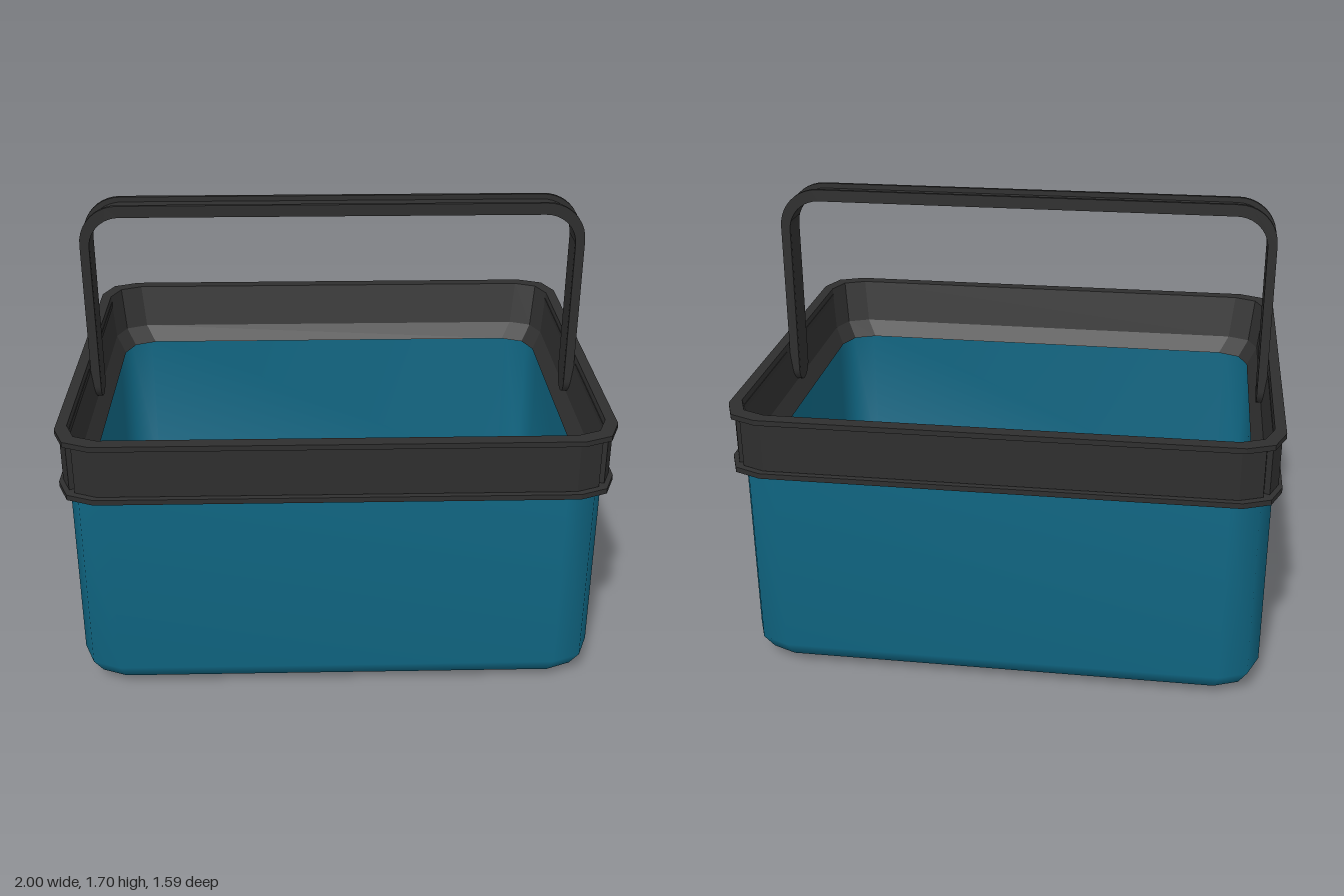
import * as THREE from 'three';

const teal = new THREE.MeshStandardMaterial({ color: 0x0f6480 });
const charcoal = new THREE.MeshStandardMaterial({ color: 0x2e2e2e });

function add(parent, name, geometry, material) {
  const mesh = new THREE.Mesh(geometry, material);
  mesh.name = name;
  parent.add(mesh);
  return mesh;
}

// Rounded rectangle in x/z with two facets per corner
function ring(hx, hz, r) {
  const pts = [];
  [[1, 1], [-1, 1], [-1, -1], [1, -1]].forEach(([sx, sz], q) => {
    for (let k = 0; k <= 2; k++) {
      const a = (q + k / 2) * Math.PI / 2;
      pts.push([sx * (hx - r) + r * Math.cos(a), sz * (hz - r) + r * Math.sin(a)]);
    }
  });
  return pts;
}

// Skin over rings given as [half x, half z, corner radius, y]
function loft(sections, flat) {
  const pos = [], idx = [], n = 12;
  sections.forEach(([hx, hz, r, y]) => ring(hx, hz, r).forEach(([x, z]) => pos.push(x, y, z)));
  for (let i = 0; i < sections.length - 1; i++) {
    for (let j = 0; j < n; j++) {
      const a = i * n + j, b = i * n + (j + 1) % n, c = b + n, d = a + n;
      idx.push(a, d, c, a, c, b);
    }
  }
  let g = new THREE.BufferGeometry();
  g.setAttribute('position', new THREE.Float32BufferAttribute(pos, 3));
  g.setIndex(idx);
  if (flat) g = g.toNonIndexed();
  g.computeVertexNormals();
  return g;
}

// Upright plate whose outline is given in x/z
function slab(points, y0, y1) {
  const shape = new THREE.Shape(points.map(([x, z]) => new THREE.Vector2(x, z)));
  const g = new THREE.ExtrudeGeometry(shape, { depth: y1 - y0, bevelEnabled: false });
  return g.rotateX(Math.PI / 2).translate(0, y1, 0);
}

// Upside-down U with rounded shoulders, extruded along z
function arch(outX, outY, outR, inX, inY, inR, foot, z0, z1) {
  const s = new THREE.Shape();
  s.moveTo(outX, foot);
  s.lineTo(outX, outY - outR);
  s.absarc(outX - outR, outY - outR, outR, 0, Math.PI / 2, false);
  s.absarc(-outX + outR, outY - outR, outR, Math.PI / 2, Math.PI, false);
  s.lineTo(-outX, foot);
  s.lineTo(-inX, foot);
  s.lineTo(-inX, inY - inR);
  s.absarc(-inX + inR, inY - inR, inR, Math.PI, Math.PI / 2, true);
  s.absarc(inX - inR, inY - inR, inR, Math.PI / 2, 0, true);
  s.lineTo(inX, foot);
  const g = new THREE.ExtrudeGeometry(s, { depth: z1 - z0, bevelEnabled: false, curveSegments: 5 });
  return g.translate(0, 0, z0);
}

export function createModel() {
  const model = new THREE.Group();
  model.name = 'basket';

  // Tub: outer skin, top edge and inner skin in one profile
  add(model, 'tub', loft([
    [0, 0, 0, 0], [0.8, 0.59, 0.1, 0], [0.935, 0.725, 0.13, 0.04], [0.97, 0.76, 0.15, 0.1],
    [0.97, 0.76, 0.15, 0.85], [0.935, 0.725, 0.13, 0.85],
    [0.935, 0.725, 0.13, 0.11], [0.79, 0.58, 0.1, 0.03], [0, 0, 0, 0.03],
  ], false), teal);

  // Rim: two flanges, recessed band and sloping inner ledge
  const rim = new THREE.Group();
  rim.name = 'rim';
  model.add(rim);
  add(rim, 'rimBand', loft([
    [0.9, 0.655, 0.12, 0.83], [1, 0.795, 0.14, 0.83], [1, 0.795, 0.14, 0.85],
    [0.965, 0.76, 0.12, 0.855], [0.965, 0.76, 0.12, 1.037], [1, 0.795, 0.14, 1.04],
    [1, 0.795, 0.14, 1.06], [0.96, 0.745, 0.12, 1.06], [0.94, 0.705, 0.12, 0.89],
    [0.9, 0.655, 0.12, 0.83],
  ], true), charcoal);

  // Raised panels, leaving slots at the corners and beside the pivots
  const half = [[0.847, 0.782], [0.93, 0.748], [0.92, 0.725], [0.84, 0.75]];
  const mirrored = half.map(([x, z]) => [-x, z]).reverse();
  const side = [[0.987, 0.09], [0.987, 0.642], [0.953, 0.725], [0.93, 0.715], [0.955, 0.635], [0.955, 0.09]];
  for (const s of [1, -1]) {
    const outline = [...half, ...mirrored].map(([x, z]) => [x, z * s]);
    add(rim, s > 0 ? 'frontPanel' : 'backPanel', slab(outline, 0.855, 1.037), charcoal);
    for (const t of [1, -1]) {
      add(rim, 'sidePanel', slab(side.map(([x, z]) => [x * s, z * t]), 0.855, 1.037), charcoal);
    }
  }

  // Handle, leaning slightly forward about its pivots
  const handle = new THREE.Group();
  handle.name = 'handle';
  handle.position.set(0, 0.95, 0.007);
  handle.rotation.x = 0.017;
  model.add(handle);
  const w = 0.0625;
  for (const s of [1, -1]) {
    const z = s * (w - 0.0075);
    add(handle, 'handleRail', arch(0.955, 0.745, 0.15, 0.92, 0.7, 0.12, 0, z - 0.0075, z + 0.0075), charcoal);
    add(handle, 'handleLeg', new THREE.BoxGeometry(0.035, 0.59, 2 * w - 0.02)
      .translate(s * 0.937, 0.295, 0), charcoal);
    add(handle, 'handleFoot', new THREE.CylinderGeometry(w, w, 0.035, 20)
      .rotateZ(Math.PI / 2).translate(s * 0.9375, 0, 0), charcoal);
    // Pivot button and its neck on the outside of the rim
    add(handle, 'pivotButton', new THREE.CylinderGeometry(0.062, 0.062, 0.05, 20)
      .rotateZ(Math.PI / 2).translate(s * 0.96, 0, 0), charcoal);
    add(handle, 'pivotNeck', new THREE.BoxGeometry(0.02, 0.04, 0.075)
      .translate(s * 0.964, 0.067, 0), charcoal);
  }
  add(handle, 'handleWeb', arch(0.94, 0.726, 0.14, 0.92, 0.7, 0.12, 0.5, -w + 0.01, w - 0.01), charcoal);

  return model;
}
